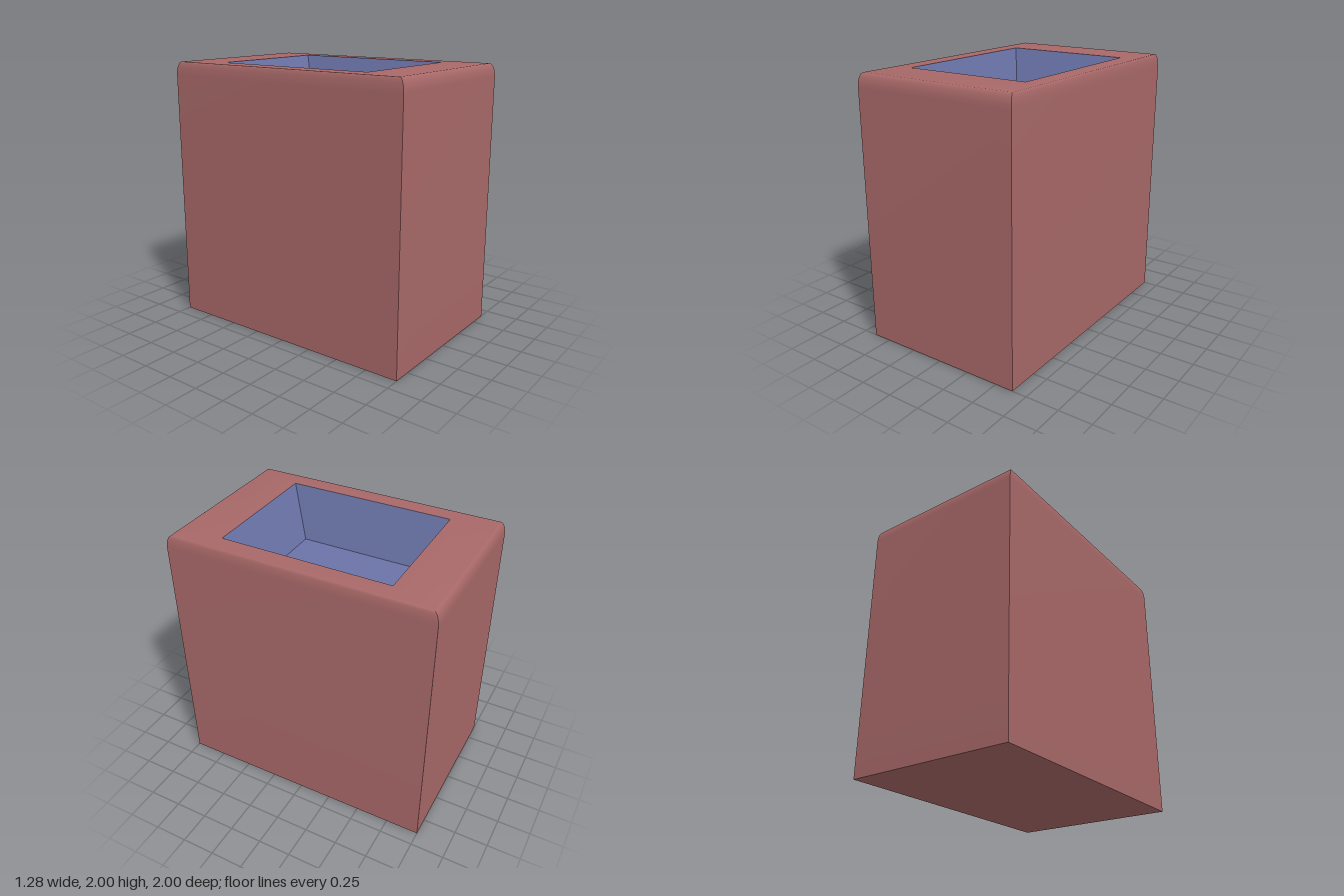
import * as THREE from 'three';
import { toCreasedNormals } from 'three/addons/utils/BufferGeometryUtils.js';

const CORNERS = [[-1, 1], [1, 1], [1, -1], [-1, -1]];

// Skins a stack of rectangles, each given as [halfWidth, y, halfDepth]
function rectLoft(rings) {
  const pos = [];
  const point = ([w, y, d], k) => {
    const [sx, sz] = CORNERS[k % 4];
    return [sx * w, y, sz * d];
  };
  for (let i = 0; i < rings.length - 1; i++) {
    for (let k = 0; k < 4; k++) {
      const a = point(rings[i], k), b = point(rings[i], k + 1);
      const c = point(rings[i + 1], k + 1), d = point(rings[i + 1], k);
      pos.push(...a, ...b, ...c, ...a, ...c, ...d);
    }
  }
  const geo = new THREE.BufferGeometry();
  geo.setAttribute('position', new THREE.Float32BufferAttribute(pos, 3));
  return toCreasedNormals(geo, 0.6);
}

export function createModel() {
  const W = 0.64, H = 2, D = 1;
  const RIM = [0.488, H, 0.635], FLOOR = [0.383, 1.6, 0.497];
  const red = new THREE.MeshStandardMaterial({ color: 0xa86868 });
  const blue = new THREE.MeshStandardMaterial({ color: 0x6a74a8 });

  const model = new THREE.Group();
  model.name = 'planterBox';
  const add = (name, geometry, material) => {
    const mesh = new THREE.Mesh(geometry, material);
    mesh.name = name;
    model.add(mesh);
    return mesh;
  };

  // Outer walls, softly rounded into the top frame
  const rings = [[W, 0, D]];
  const steps = 8, round = 0.1;
  for (let i = 0; i <= steps; i++) {
    const a = (i / steps) * Math.PI / 2;
    const inset = 1 - Math.cos(a);
    rings.push([W - 0.02 * inset, H - round + round * Math.sin(a), D - 0.04 * inset]);
  }
  rings.push(RIM);
  add('body', rectLoft(rings), red);

  // Underside
  add('base', new THREE.PlaneGeometry(2 * W, 2 * D).rotateX(Math.PI / 2), red);

  // Tapered recess in the top
  add('recessWalls', rectLoft([RIM, FLOOR]), blue);
  const floor = new THREE.PlaneGeometry(2 * FLOOR[0], 2 * FLOOR[2]).rotateX(-Math.PI / 2);
  add('recessFloor', floor, blue).position.y = FLOOR[1];

  return model;
}
